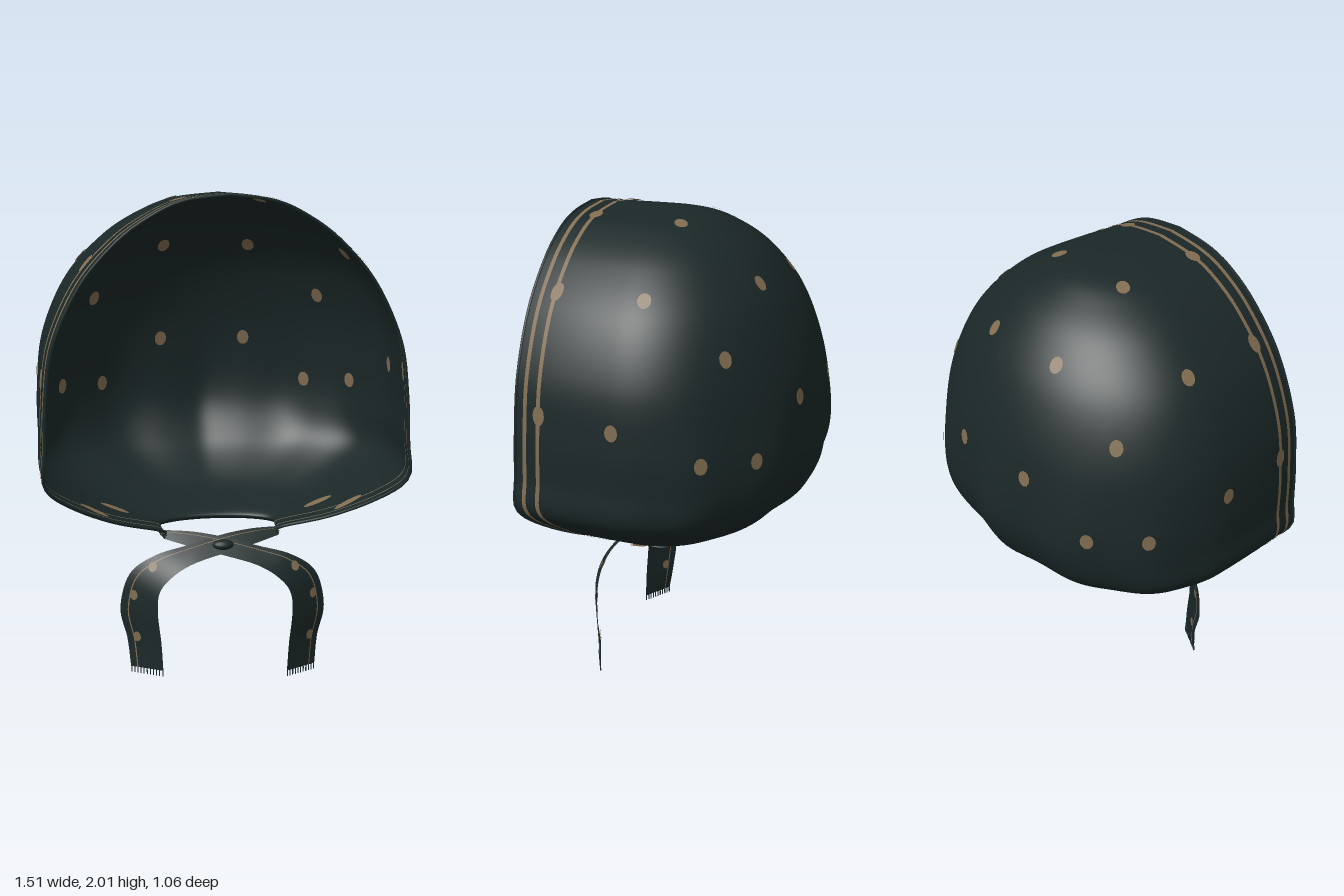
import * as THREE from 'three';
import { mergeVertices } from 'three/addons/utils/BufferGeometryUtils.js';

const V = (x, y, z) => new THREE.Vector3(x, y, z);

// Hood rows from crown to neck: height, half width, front z, back z, z of widest point, front narrowing
const ROWS = [
  [2.0, 0, 0.51, 0.15, 0.25, 0.93], [1.98, 0.18, 0.51, -0.02, 0.2, 0.92],
  [1.93, 0.315, 0.515, -0.135, 0.16, 0.91], [1.83, 0.47, 0.515, -0.265, 0.13, 0.91],
  [1.66, 0.625, 0.515, -0.39, 0.11, 0.92], [1.43, 0.725, 0.515, -0.475, 0.1, 0.94],
  [1.2, 0.752, 0.52, -0.51, 0.1, 0.95], [1.02, 0.752, 0.525, -0.505, 0.1, 0.96],
  [0.88, 0.745, 0.525, -0.45, 0.1, 0.975], [0.78, 0.64, 0.46, -0.37, 0.1, 0.98],
  [0.68, 0.46, 0.36, -0.22, 0.11, 0.97], [0.61, 0.26, 0.27, -0.01, 0.12, 0.93],
  [0.58, 0.26, 0.27, 0.0, 0.12, 0.93],
];
const pairCurve = (a, b) => new THREE.SplineCurve(ROWS.map(r => new THREE.Vector2(r[a], r[b])));
const outline = pairCurve(0, 1), depth = pairCurve(2, 3), shape = pairCurve(4, 5);
const BACK = 0.6; // share of each row that wraps the back

function hoodPoint(u, v) {
  const { x: y, y: w } = outline.getPoint(u);
  const { x: front, y: back } = depth.getPoint(u);
  const { x: mid, y: narrow } = shape.getPoint(u);
  const s = Math.sign(v), a = Math.abs(v);
  if (a > BACK) {
    const q = (a - BACK) / (1 - BACK);
    return V(s * w * (1 - (1 - narrow) * q * q), y, mid + (front - mid) * q);
  }
  const angle = (a / BACK) * Math.PI / 2;
  // Soft gathers, a squarer back and a pinched centre seam towards the nape
  const fade = THREE.MathUtils.smoothstep(1.45 - y, 0, 0.5) * THREE.MathUtils.smoothstep(y, 0.58, 0.8);
  const gather = 0.014 * Math.cos(angle * 12) * Math.cos(angle) + 0.03 * Math.sin(2 * angle) ** 2
    + 0.014 * Math.exp(-((angle / 0.08) ** 2));
  const k = 1 + fade * gather;
  return V(s * w * Math.sin(angle) * k, y, mid - (mid - back) * Math.cos(angle) * k);
}

function hoodNormal(u, v) {
  const e = 0.004, cl = THREE.MathUtils.clamp;
  const du = hoodPoint(cl(u + e, 0, 1), v).sub(hoodPoint(cl(u - e, 0, 1), v));
  const dv = hoodPoint(u, cl(v + e, -1, 1)).sub(hoodPoint(u, cl(v - e, -1, 1)));
  const n = du.cross(dv).normalize();
  return n.dot(hoodPoint(u, v).sub(V(0, 1.1, 0.1))) < 0 ? n.negate() : n;
}

// Smooth surface over a grid of points
function grid(nu, nv, fn) {
  const pos = [], index = [];
  for (let i = 0; i <= nu; i++) for (let j = 0; j <= nv; j++) pos.push(...fn(i / nu, j / nv).toArray());
  for (let i = 0; i < nu; i++) for (let j = 0; j < nv; j++) {
    const a = i * (nv + 1) + j, b = a + nv + 1;
    index.push(a, b, a + 1, b, b + 1, a + 1);
  }
  let g = new THREE.BufferGeometry();
  g.setAttribute('position', new THREE.Float32BufferAttribute(pos, 3));
  g.setIndex(index);
  g = mergeVertices(g, 1e-5);
  g.computeVertexNormals();
  return g;
}

export function createModel() {
  const model = new THREE.Group();
  model.name = 'bonnet';
  const fabric = new THREE.MeshStandardMaterial({ color: 0x1b2727, side: THREE.DoubleSide });
  fabric.name = 'dark teal cloth';
  const gold = new THREE.MeshStandardMaterial({ color: 0x806c50, side: THREE.DoubleSide });
  gold.name = 'dull gold print';
  const add = (name, geometry, material) => {
    const m = new THREE.Mesh(geometry, material);
    m.name = name;
    model.add(m);
    return m;
  };
  // Printed spot on both faces of the cloth
  const spot = (name, p, n, r, tall) => {
    for (const s of [1, -1]) {
      const d = add(name, new THREE.CircleGeometry(r, 14), gold);
      d.position.copy(p).addScaledVector(n, s * 0.005);
      d.lookAt(d.position.clone().addScaledVector(n, s));
      d.scale.y = tall;
    }
  };

  add('hood', grid(96, 200, (u, t) => hoodPoint(u, t * 2 - 1)), fabric);

  // Rolled hem around the face opening
  const hem = [];
  for (let i = 0; i <= 40; i++) hem.push(hoodPoint(1 - i / 40, -1));
  for (let i = 1; i <= 40; i++) hem.push(hoodPoint(i / 40, 1));
  add('faceHem', new THREE.TubeGeometry(new THREE.CatmullRomCurve3(hem), 120, 0.006, 6), fabric);

  // Two printed bands beside the hem: broad outside, fine on the lining
  for (const side of [1, -1]) for (const gap of [0.038, 0.1]) for (const [off, wide] of [[0.003, 0.018], [-0.003, 0.007]]) {
    add('rimStripe', grid(96, 2, (u, t) => {
      const reach = depth.getPoint(u).x - shape.getPoint(u).x;
      const v = side * (1 - (1 - BACK) * Math.min(1, (gap + t * wide) / reach));
      return hoodPoint(u, v).addScaledVector(hoodNormal(u, v), off);
    }), gold);
  }

  // Spots, placed on the nearest bit of the hood and mirrored; those by the rim and neck are stretched
  const spots = [
    [0.19, 1.97, 0.03], [0.565, 1.74, 0.03], [0.19, 1.765, -0.31], [0.51, 1.53, -0.285],
    [0.19, 1.32, -0.49], [0.46, 1.13, -0.39], [0.62, 1.13, -0.21], [0.75, 1.27, 0.08],
    [0.19, 1.96, 0.4, 1.25], [0.53, 1.73, 0.4, 1.5], [0.72, 1.29, 0.405, 1.5],
    [0.44, 0.675, 0.12, 2.4], [0.53, 0.72, 0.31, 2.4],
  ];
  for (const [x, y, z, tall = 1.25] of spots) {
    const target = V(x, y, z);
    let best = Infinity, bu = 0, bv = 0;
    for (let i = 1; i < 120; i++) for (let j = 0; j <= 120; j++) {
      const d = hoodPoint(i / 120, j / 120).distanceTo(target);
      if (d < best) [best, bu, bv] = [d, i / 120, j / 120];
    }
    for (const side of [1, -1]) spot('hoodSpot', hoodPoint(bu, side * bv), hoodNormal(bu, side * bv), 0.027, tall);
  }

  // Ties: centre point, then half-width direction
  const path = [
    [[0.24, 0.592, 0.255], [0, 0.015, -0.015]], [[0.12, 0.58, 0.29], [0, 0.026, -0.03]],
    [[0, 0.562, 0.32], [0, 0.03, -0.035]], [[-0.14, 0.53, 0.35], [-0.01, 0.03, -0.034]],
    [[-0.25, 0.49, 0.365], [-0.035, 0.036, -0.034]], [[-0.33, 0.42, 0.365], [-0.06, 0.03, -0.036]],
    [[-0.355, 0.3, 0.362], [-0.075, 0, -0.042]], [[-0.335, 0.17, 0.367], [-0.068, 0, -0.042]],
    [[-0.325, 0.05, 0.377], [-0.065, 0, -0.035]],
  ];
  const centre = new THREE.CatmullRomCurve3(path.map(p => V(...p[0])), false, 'catmullrom');
  const half = new THREE.CatmullRomCurve3(path.map(p => V(...p[1])), false, 'catmullrom');
  for (const side of [1, -1]) {
    const name = side > 0 ? 'rightTie' : 'leftTie';
    const at = (t, k) => {
      const p = centre.getPoint(t).addScaledVector(half.getPoint(t), k);
      p.x *= side;
      if (side < 0) { p.y -= 0.025 * t; p.z += 0.012 * Math.sin(Math.PI * t); }
      return p;
    };
    const normal = t => at(Math.min(1, t + 0.01), 0).sub(at(Math.max(0, t - 0.01), 0))
      .cross(at(t, 1).sub(at(t, -1))).normalize();
    add(name, grid(64, 4, (t, k) => at(t, k * 2 - 1)), fabric);
    for (const off of [0.003, -0.003]) {
      add(name + 'Stripe', grid(64, 1, (t, k) => at(t, 0.52 + 0.07 * k).addScaledVector(normal(t), off)), gold);
    }
    for (const t of [0.54, 0.69, 0.86]) spot(name + 'Spot', at(t, 0.35), normal(t), 0.018, 1.2);
    // Frayed end
    for (let i = 0; i < 11; i++) {
      const thread = add(name + 'Fringe', new THREE.BoxGeometry(0.004, 0.025, 0.004), fabric);
      thread.position.copy(at(1, -0.96 + i * 0.192));
      thread.position.y -= 0.0125;
    }
  }

  // Small knot where the ties cross
  const knot = add('knot', new THREE.SphereGeometry(1, 16, 10), fabric);
  knot.scale.set(0.045, 0.022, 0.03);
  knot.position.set(0, 0.56, 0.325);
  return model;
}
